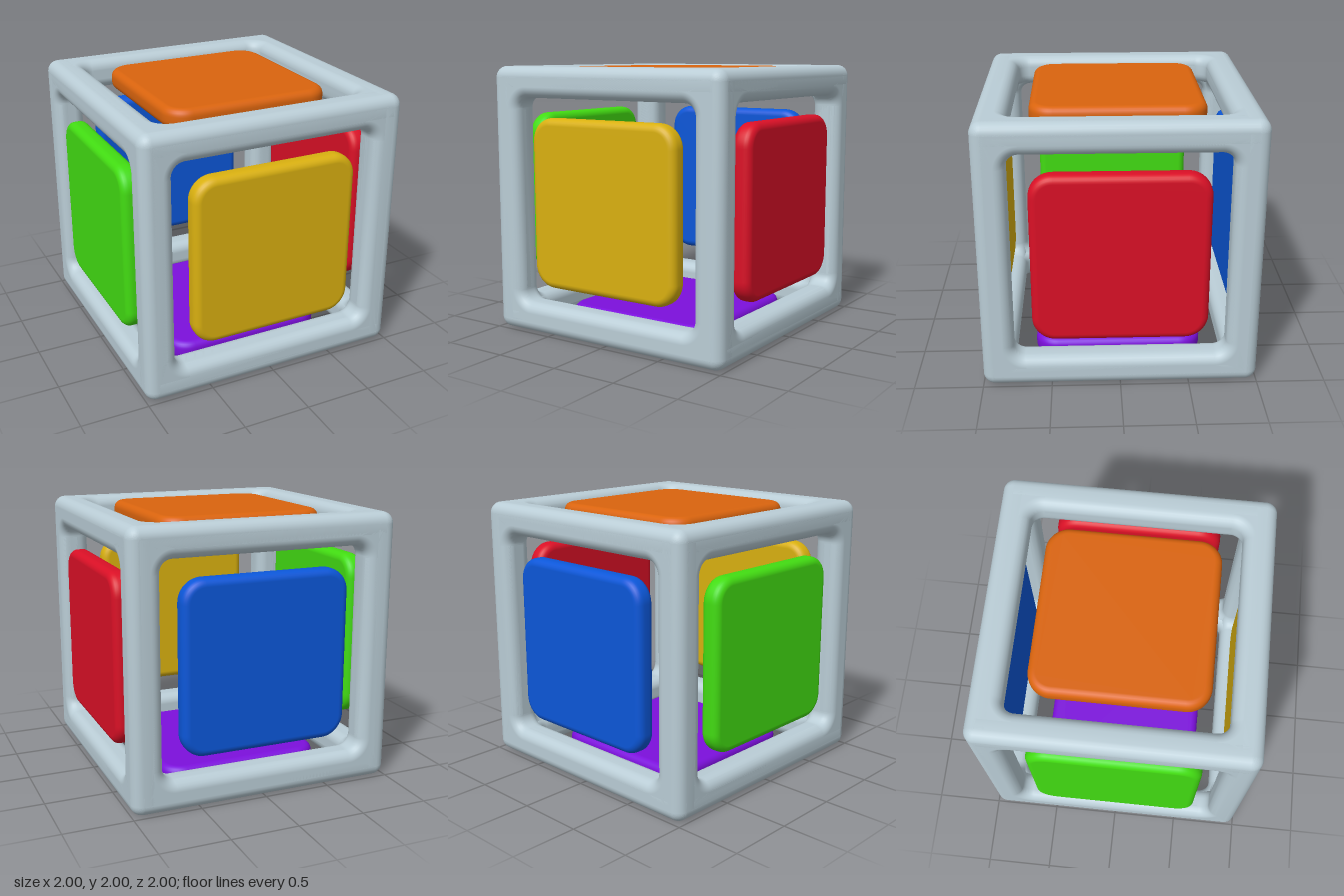
import * as THREE from 'three';
import { toCreasedNormals } from 'three/addons/utils/BufferGeometryUtils.js';

const mat = (name, color) => {
  const m = new THREE.MeshStandardMaterial({ color });
  m.name = name;
  return m;
};

// Square outline with rounded corners; h is half the side
function roundedSquare(path, h, r) {
  path.moveTo(h, -h + r);
  path.lineTo(h, h - r);
  path.absarc(h - r, h - r, r, 0, Math.PI / 2);
  path.lineTo(-h + r, h);
  path.absarc(-h + r, h - r, r, Math.PI / 2, Math.PI);
  path.lineTo(-h, -h + r);
  path.absarc(-h + r, -h + r, r, Math.PI, Math.PI * 1.5);
  path.lineTo(h - r, -h);
  path.absarc(h - r, -h + r, r, Math.PI * 1.5, Math.PI * 2);
  return path;
}

// Slab with rounded edges, reaching from z = front - depth to z = front
function slab(shape, depth, edge, front) {
  const geo = new THREE.ExtrudeGeometry(shape, {
    depth: depth - 2 * edge, bevelEnabled: true, bevelThickness: edge,
    bevelSize: edge, bevelOffset: -edge, bevelSegments: 6, curveSegments: 8,
  });
  geo.translate(0, 0, edge - depth / 2);
  const out = toCreasedNormals(geo, 0.7);
  // Keep the two broad faces evenly flat
  const p = out.attributes.position, n = out.attributes.normal;
  for (let i = 0; i < p.count; i++) {
    const z = p.getZ(i);
    if (Math.abs(z) > depth / 2 - 1e-4) n.setXYZ(i, 0, 0, Math.sign(z));
  }
  out.translate(0, 0, front - depth / 2);
  return out;
}

export function createModel() {
  const model = new THREE.Group();
  model.name = 'framedCube';

  const frameMat = mat('pale grey blue', 0xbacdd6);
  const sides = [
    ['front', 0, 0, mat('yellow', 0xd9b010)],
    ['right', 0, Math.PI / 2, mat('red', 0xda1026)],
    ['back', 0, Math.PI, mat('blue', 0x0c57d9)],
    ['left', 0, -Math.PI / 2, mat('green', 0x42dc12)],
    ['top', -Math.PI / 2, 0, mat('orange', 0xda640e)],
    ['bottom', Math.PI / 2, 0, mat('purple', 0x7c10dc)],
  ];

  // One square ring of the frame, and one floating panel
  const ringShape = roundedSquare(new THREE.Shape(), 1, 0.085);
  ringShape.holes.push(roundedSquare(new THREE.Path(), 0.77, 0.09));
  const ringGeo = slab(ringShape, 0.23, 0.08, 1);
  const panelGeo = slab(roundedSquare(new THREE.Shape(), 0.63, 0.17), 0.15, 0.055, 0.995);

  // The six rings share their bars and together make the cube frame
  for (const [name, rx, ry, panelMat] of sides) {
    const side = new THREE.Group();
    side.name = name + 'Side';
    const ring = new THREE.Mesh(ringGeo, frameMat);
    ring.name = name + 'Frame';
    const panel = new THREE.Mesh(panelGeo, panelMat);
    panel.name = name + 'Panel';
    side.add(ring, panel);
    side.rotation.set(rx, ry, 0);
    side.position.y = 1;
    model.add(side);
  }
  return model;
}
